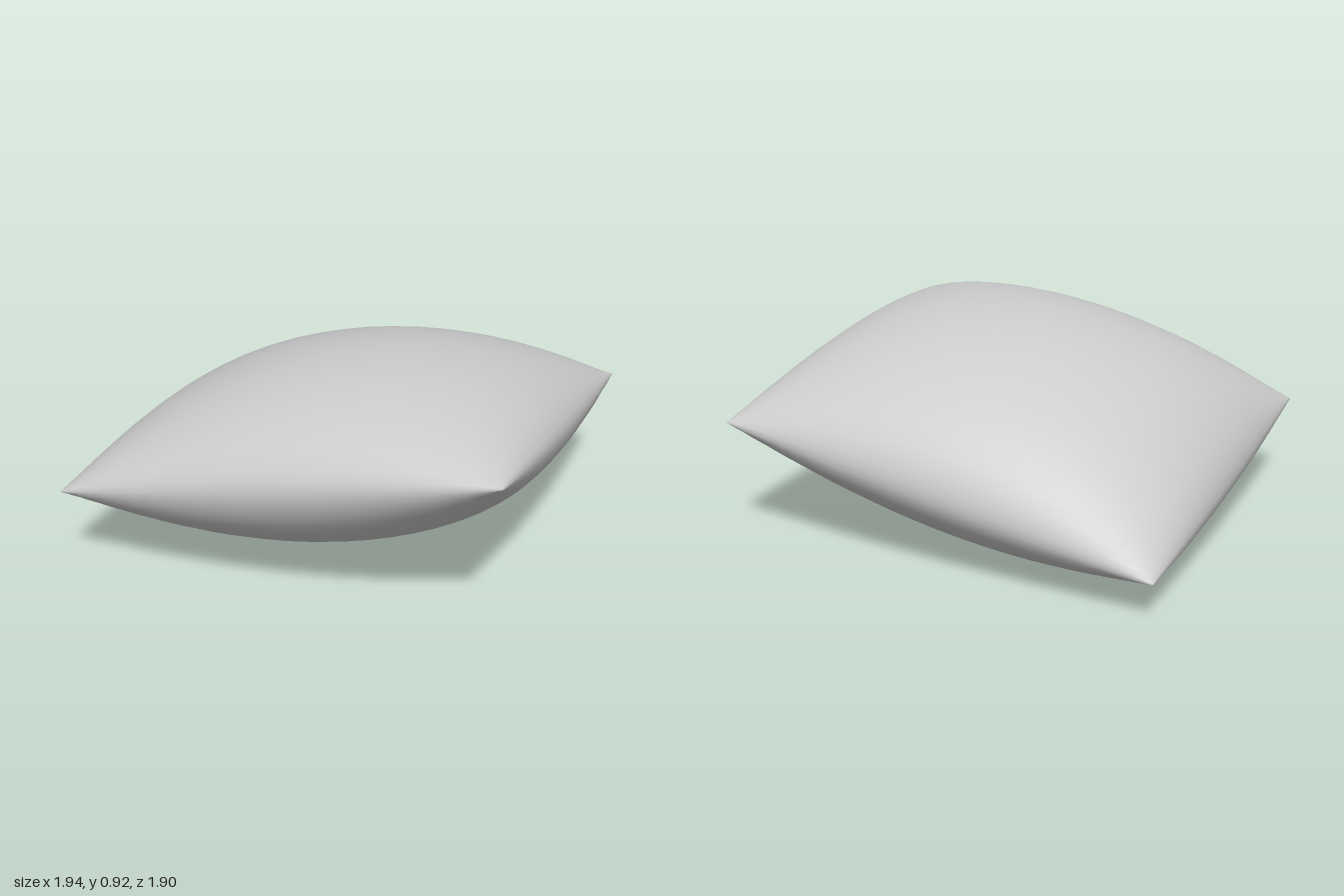
import * as THREE from 'three';
import { mergeGeometries, mergeVertices } from 'three/addons/utils/BufferGeometryUtils.js';

// Tilted frame of the cushion: half width, half depth and the puff direction
const CENTRE = new THREE.Vector3(0, 0.458, 0);
const HALF_WIDTH = new THREE.Vector3(0.92, 0.185, -0.088);
const HALF_DEPTH = new THREE.Vector3(0.05, 0.12, 0.86);
const PUFF = new THREE.Vector3().crossVectors(HALF_DEPTH, HALF_WIDTH).normalize();
const THICKNESS = 0.42;
const SEGMENTS = 28;

// One puffed sheet: side = 1 for the upper, -1 for the lower
function sheet(side) {
  const geometry = new THREE.PlaneGeometry(2, 2, SEGMENTS, SEGMENTS);
  geometry.rotateX(-side * Math.PI / 2);
  geometry.deleteAttribute('uv');
  geometry.deleteAttribute('normal');
  const position = geometry.attributes.position;
  const p = new THREE.Vector3();
  for (let i = 0; i < position.count; i++) {
    // rows crowd towards the seam, where the curve is tightest
    const s = Math.sin(position.getX(i) * Math.PI / 2);
    const t = Math.sin(position.getZ(i) * Math.PI / 2);
    const a = Math.max(0, 1 - s * s);
    const b = Math.max(0, 1 - t * t);
    const height = side * THICKNESS * Math.pow(a, 0.58) * Math.pow(b, 0.55);
    // seams bow out slightly between the corners
    p.copy(CENTRE)
      .addScaledVector(HALF_WIDTH, s * (1 + 0.02 * b))
      .addScaledVector(HALF_DEPTH, t * (1 + 0.02 * a))
      .addScaledVector(PUFF, height);
    position.setXYZ(i, p.x, p.y, p.z);
  }
  return geometry;
}

export function createModel() {
  const group = new THREE.Group();
  group.name = 'pillow';

  // Both sheets welded along the seam
  const geometry = mergeVertices(mergeGeometries([sheet(1), sheet(-1)]), 1e-4);
  geometry.computeVertexNormals();

  const cushion = new THREE.Mesh(geometry, new THREE.MeshStandardMaterial({ color: 0xcccccc }));
  cushion.name = 'cushion';
  group.add(cushion);
  return group;
}
